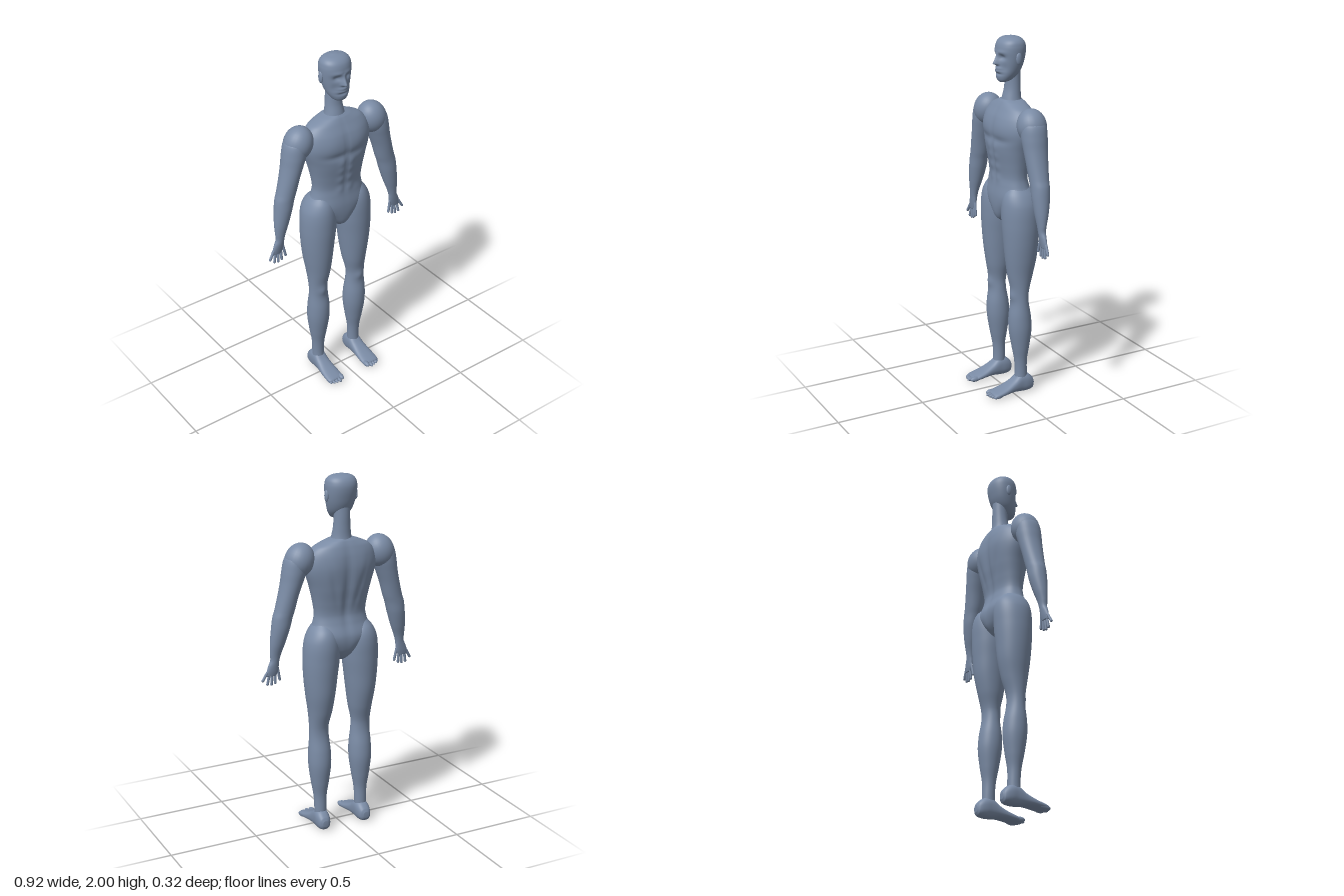
import * as THREE from 'three';

const skin = new THREE.MeshStandardMaterial({ color: 0x7a8ba5 });
skin.name = 'slate blue';

// Smooth body through slices [y, xMin, xMax, zBack, zFront], listed from low to high.
function loft(rows, { segs = 40, steps = 48, power = 2, bump = null } = {}) {
  // Catmull-Rom style tangents over the slice heights
  const slope = (i, k) => {
    const a = rows[Math.max(i - 1, 0)], b = rows[Math.min(i + 1, rows.length - 1)];
    return (b[k] - a[k]) / (b[0] - a[0]);
  };
  const slice = (u) => {
    const f = u * (rows.length - 1), i = Math.min(Math.floor(f), rows.length - 2), t = f - i;
    const a = rows[i], b = rows[i + 1], h = b[0] - a[0];
    return a.map((v, k) => k === 0 ? v + h * t :
      (2 * t ** 3 - 3 * t ** 2 + 1) * v + (t ** 3 - 2 * t ** 2 + t) * h * slope(i, k) +
      (3 * t ** 2 - 2 * t ** 3) * b[k] + (t ** 3 - t ** 2) * h * slope(i + 1, k));
  };
  const pos = [], idx = [];
  const round = (c) => Math.sign(c) * Math.abs(c) ** (2 / power);
  for (let i = 0; i <= steps; i++) {
    const [y, x0, x1, z0, z1] = slice(i / steps);
    for (let j = 0; j < segs; j++) {
      const t = (j / segs) * Math.PI * 2, s = Math.sin(t);
      const x = (x0 + x1) / 2 + (x1 - x0) / 2 * round(Math.cos(t));
      const z = (z0 + z1) / 2 + (z1 - z0) / 2 * round(s);
      pos.push(x, y, z + (bump ? bump(x, y, s) : 0));
      if (i < steps) {
        const a = i * segs + j, b = i * segs + (j + 1) % segs;
        idx.push(a, a + segs, b, b, a + segs, b + segs);
      }
    }
  }
  // End caps
  const lo = rows[0], hi = rows[rows.length - 1], c = pos.length / 3;
  for (const r of [lo, hi]) pos.push((r[1] + r[2]) / 2, r[0], (r[3] + r[4]) / 2);
  for (let j = 0; j < segs; j++) {
    const k = (j + 1) % segs, top = steps * segs;
    idx.push(c, j, k, c + 1, top + k, top + j);
  }
  const g = new THREE.BufferGeometry();
  g.setAttribute('position', new THREE.Float32BufferAttribute(pos, 3));
  g.setIndex(idx);
  g.computeVertexNormals();
  return g;
}

const sym = (rows) => rows.map(([y, w, b, f]) => [y, -w, w, b, f]);
const gauss = (d, s) => Math.exp(-(d * d) / (2 * s * s));

function ellipsoid(x, y, z, rx, ry, rz, tilt = 0) {
  return new THREE.SphereGeometry(1, 28, 20).scale(rx, ry, rz).rotateZ(tilt).translate(x, y, z);
}

// Rounded digit between two points
function digit(a, b, r) {
  const p = new THREE.Vector3(...a), q = new THREE.Vector3(...b), d = q.clone().sub(p);
  const g = new THREE.CapsuleGeometry(r, d.length() - r, 5, 10);
  g.applyQuaternion(new THREE.Quaternion().setFromUnitVectors(new THREE.Vector3(0, 1, 0), d.normalize()));
  const m = p.add(q).multiplyScalar(0.5);
  return g.translate(m.x, m.y, m.z);
}

function mirrored(geo) {
  const g = geo.clone().scale(-1, 1, 1), a = g.index.array;
  for (let i = 0; i < a.length; i += 3) [a[i], a[i + 1]] = [a[i + 1], a[i]];
  g.computeVertexNormals();
  return g;
}

// Chest, belly and back relief
function torsoRelief(x, y, s) {
  const ax = Math.abs(x);
  if (s > 0) {
    const pec = 0.007 * gauss(ax - 0.085, 0.05) * gauss(y - 1.535, 0.045);
    const fold = -0.008 * gauss(y - (1.455 + 1.2 * (ax - 0.07) ** 2), 0.014) * gauss(ax - 0.07, 0.06);
    const mid = -0.005 * gauss(x, 0.008) * gauss(y - 1.42, 0.12);
    let abs = 0;
    for (const h of [1.24, 1.3, 1.36, 1.41]) abs += 0.005 * gauss(ax - 0.03, 0.016) * gauss(y - h, 0.017);
    return s * (pec + fold + mid + abs);
  }
  const spine = 0.012 * gauss(x, 0.016) * gauss(y - 1.37, 0.15);
  const blade = -0.005 * gauss(ax - 0.09, 0.035) * gauss(y - 1.52, 0.06);
  const groove = 0.005 * gauss(ax - (0.05 + 0.25 * (y - 1.3)), 0.012) * gauss(y - 1.4, 0.08);
  return -s * (spine + blade + groove);
}

// Brow, eye sockets, nose, lips and chin
function faceRelief(x, y, s) {
  if (s <= 0) return 0;
  const ax = Math.abs(x);
  const ramp = y > 1.858 ? Math.max(0, 1 - (y - 1.858) / 0.06) : gauss(y - 1.858, 0.006);
  const nose = 0.03 * ramp * gauss(x, 0.010);
  const eyes = -0.013 * gauss(ax - 0.034, 0.015) * gauss(y - 1.893, 0.011);
  const brow = 0.005 * gauss(ax - 0.03, 0.025) * gauss(y - 1.918, 0.009);
  const lips = 0.007 * gauss(x, 0.022) * (gauss(y - 1.832, 0.006) + gauss(y - 1.816, 0.006));
  const dents = -0.006 * gauss(x, 0.025) * gauss(y - 1.803, 0.006);
  const cheeks = -0.006 * gauss(ax - 0.05, 0.014) * gauss(y - 1.835, 0.018);
  return s * (nose + eyes + brow + lips + dents + cheeks);
}

const kneeRelief = (x, y, s) => s > 0 ? s * 0.009 * gauss(x - 0.128, 0.025) * gauss(y - 0.585, 0.022) : 0;

export function createModel() {
  const model = new THREE.Group();
  model.name = 'figure';
  const add = (name, geo, parent = model) => {
    const m = new THREE.Mesh(geo, skin);
    m.name = name;
    parent.add(m);
  };

  add('torso', loft(sym([
    [0.985, 0.02, -0.075, 0.0], [1.01, 0.045, -0.11, 0.03], [1.06, 0.1, -0.142, 0.046],
    [1.13, 0.182, -0.152, 0.05], [1.2, 0.158, -0.13, 0.042], [1.25, 0.149, -0.12, 0.036],
    [1.32, 0.158, -0.13, 0.044], [1.4, 0.176, -0.146, 0.056], [1.5, 0.203, -0.155, 0.06],
    [1.57, 0.195, -0.15, 0.046], [1.62, 0.16, -0.137, 0.022], [1.65, 0.095, -0.123, 0.004],
    [1.663, 0.05, -0.112, -0.008],
  ]), { segs: 96, steps: 110, power: 2.25, bump: torsoRelief }));

  add('neck', loft(sym([
    [1.63, 0.065, -0.12, 0], [1.67, 0.054, -0.112, -0.01], [1.72, 0.047, -0.11, -0.022],
    [1.78, 0.044, -0.11, -0.025], [1.85, 0.045, -0.108, -0.025],
  ])));

  add('head', loft(sym([
    [1.757, 0.018, -0.02, 0.008], [1.765, 0.036, -0.045, 0.018], [1.78, 0.05, -0.07, 0.024],
    [1.805, 0.064, -0.095, 0.026], [1.84, 0.075, -0.114, 0.024], [1.88, 0.083, -0.126, 0.023],
    [1.92, 0.087, -0.133, 0.025], [1.95, 0.086, -0.132, 0.022], [1.975, 0.077, -0.121, 0.01],
    [1.992, 0.053, -0.1, -0.014], [2.0, 0.012, -0.067, -0.047],
  ]), { segs: 128, steps: 110, power: 2.1, bump: faceRelief }));

  // Limbs are shaped on the left and mirrored to the right
  const parts = [];
  const part = (name, geo) => parts.push([name, geo]);

  part('ear', ellipsoid(0.086, 1.888, -0.058, 0.009, 0.032, 0.017));
  part('shoulder', ellipsoid(0.24, 1.56, -0.048, 0.08, 0.094, 0.079, 0.35));
  part('arm', loft([
    [0.94, 0.374, 0.432, -0.04, -0.022], [0.965, 0.364, 0.431, -0.044, -0.018],
    [0.995, 0.36, 0.421, -0.047, -0.014], [1.025, 0.357, 0.408, -0.05, -0.011],
    [1.06, 0.347, 0.409, -0.056, -0.007], [1.12, 0.325, 0.409, -0.072, 0.001],
    [1.2, 0.3, 0.402, -0.088, 0.008], [1.26, 0.284, 0.394, -0.092, 0.009],
    [1.3, 0.271, 0.381, -0.095, 0.011], [1.38, 0.249, 0.36, -0.103, 0.017],
    [1.45, 0.224, 0.345, -0.111, 0.022], [1.51, 0.203, 0.336, -0.117, 0.026],
    [1.57, 0.197, 0.322, -0.115, 0.022], [1.6, 0.21, 0.3, -0.1, 0.005],
  ], { steps: 80 }));

  // Thumb first, then the four fingers
  const digits = [
    [0.368, 0.985, 0.353, 0.908], [0.381, 0.955, 0.379, 0.892], [0.398, 0.952, 0.402, 0.886],
    [0.415, 0.952, 0.426, 0.89], [0.425, 0.965, 0.454, 0.914],
  ];
  digits.forEach(([x0, y0, x1, y1], i) =>
    part(i ? 'finger' : 'thumb', digit([x0, y0, -0.031], [x1, y1, -0.026], 0.0075)));

  part('leg', loft([
    [0.05, 0.094, 0.162, -0.09, -0.015], [0.12, 0.093, 0.161, -0.088, -0.02],
    [0.2, 0.089, 0.165, -0.088, -0.015], [0.28, 0.076, 0.178, -0.1, 0.0],
    [0.38, 0.063, 0.19, -0.112, 0.016], [0.46, 0.063, 0.19, -0.107, 0.017],
    [0.55, 0.072, 0.184, -0.091, 0.005], [0.61, 0.074, 0.184, -0.093, 0.006],
    [0.7, 0.056, 0.191, -0.118, 0.023], [0.8, 0.042, 0.205, -0.14, 0.037],
    [0.9, 0.03, 0.215, -0.15, 0.046], [1.0, 0.018, 0.218, -0.157, 0.052],
    [1.1, 0.018, 0.21, -0.158, 0.051], [1.16, 0.04, 0.185, -0.14, 0.038],
    [1.21, 0.08, 0.145, -0.09, 0.005],
  ], { steps: 100, segs: 48, bump: kneeRelief }));

  // Foot slices run from heel to toes: [z, xMin, xMax, -top, -bottom]
  part('foot', loft([
    [-0.129, 0.113, 0.145, -0.062, -0.028], [-0.118, 0.097, 0.159, -0.082, -0.01],
    [-0.085, 0.087, 0.168, -0.108, -0.002], [-0.045, 0.086, 0.168, -0.114, -0.003],
    [0.0, 0.085, 0.171, -0.082, -0.009], [0.05, 0.081, 0.177, -0.056, -0.008],
    [0.1, 0.079, 0.179, -0.039, -0.004], [0.125, 0.084, 0.175, -0.031, -0.006],
    [0.133, 0.095, 0.165, -0.025, -0.01],
  ], { power: 2.4 }).rotateX(Math.PI / 2));

  const toes = [[0.094, 0.15, 0.015], [0.115, 0.16, 0.011], [0.134, 0.155, 0.01], [0.152, 0.15, 0.01], [0.168, 0.141, 0.009]];
  for (const [x, tip, r] of toes) part('toe', ellipsoid(x, r + 0.004, tip - 0.03, r, r, 0.03));

  for (const side of ['left', 'right']) {
    const g = new THREE.Group();
    g.name = side + 'Side';
    for (const [name, geo] of parts) {
      const label = side + name[0].toUpperCase() + name.slice(1);
      add(label, side === 'left' ? geo : mirrored(geo), g);
    }
    model.add(g);
  }
  return model;
}
